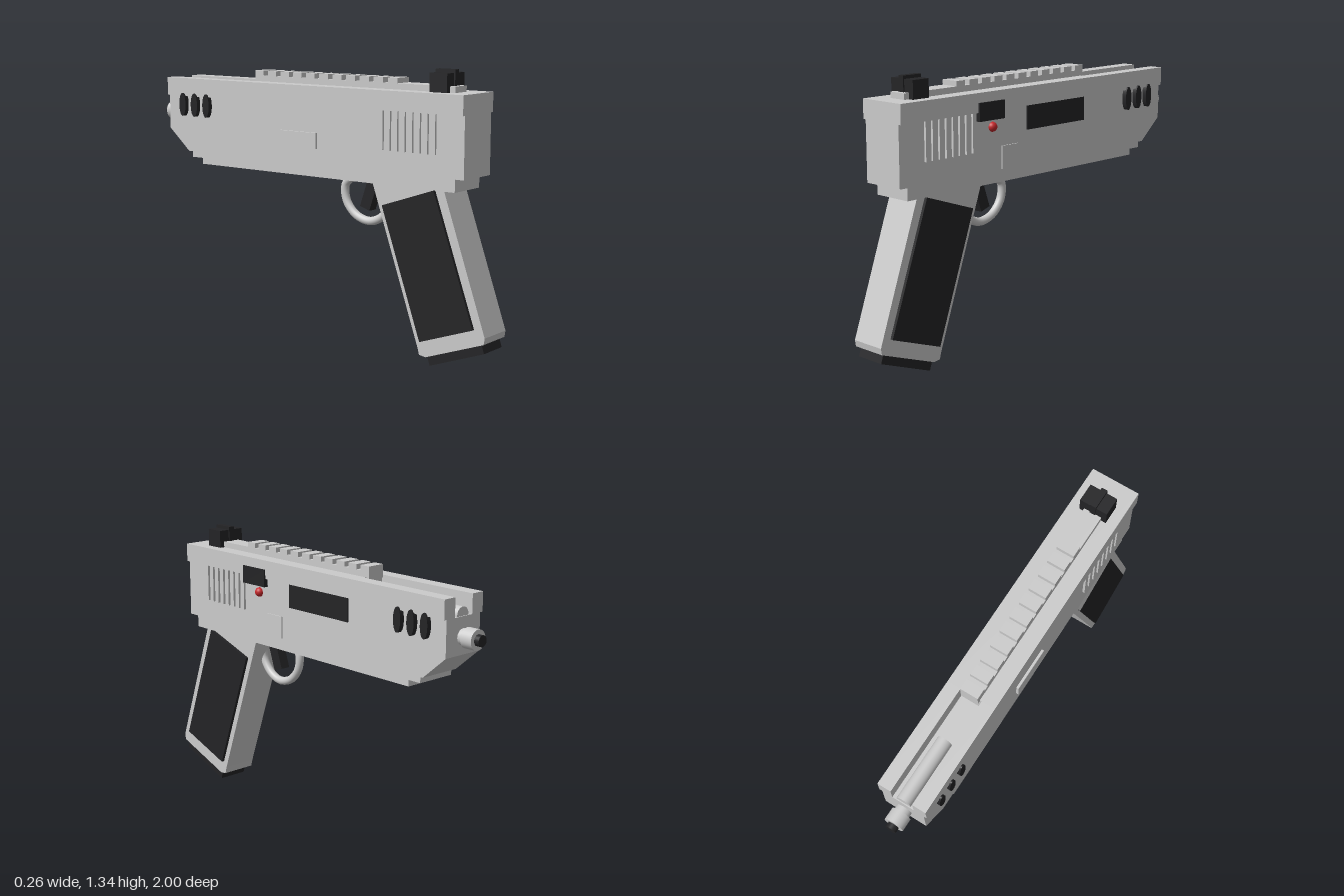
import * as THREE from 'three';

const paint = (color) => new THREE.MeshStandardMaterial({ color });

export function createModel() {
  const model = new THREE.Group();
  const grey = paint(0xcccccc), black = paint(0x242426), red = paint(0xc8282c);

  const add = (name, geometry, material = grey, parent = model) => {
    const mesh = new THREE.Mesh(geometry, material);
    mesh.name = name;
    parent.add(mesh);
    return mesh;
  };
  const group = (name) => {
    const g = new THREE.Group();
    g.name = name;
    model.add(g);
    return g;
  };
  // Box given by its limits on each axis
  const box = (name, [x0, x1], [y0, y1], [z0, z1], material, parent) => {
    const mesh = add(name, new THREE.BoxGeometry(x1 - x0, y1 - y0, z1 - z0), material, parent);
    mesh.position.set((x0 + x1) / 2, (y0 + y1) / 2, (z0 + z1) / 2);
    return mesh;
  };
  // Side outline of [z, y] points, extruded across x to a given half width
  const profile = (name, points, half, material, parent) => {
    const shape = new THREE.Shape(points.map(([z, y]) => new THREE.Vector2(-z, y)));
    const g = new THREE.ExtrudeGeometry(shape, { depth: half * 2, bevelEnabled: false });
    g.translate(0, 0, -half).rotateY(Math.PI / 2);
    return add(name, g, material, parent);
  };

  // Slide: chamfered body, wider top with an open channel towards the muzzle
  profile('slideBody', [[0.89, 0.87], [-0.76, 0.87], [-0.89, 0.98], [-0.89, 1.15], [0.89, 1.15]], 0.107);
  const top = group('slideTop');
  box('rearTop', [-0.122, 0.122], [1.15, 1.24], [-0.345, 0.89], grey, top);
  for (const s of [-1, 1]) {
    const xs = s > 0 ? [0.055, 0.122] : [-0.122, -0.055];
    box('channelWall', xs, [1.15, 1.24], [-0.89, -0.345], grey, top);
  }

  // Frame under the slide
  profile('frame', [[0.84, 0.81], [-0.67, 0.81], [-0.67, 0.84], [-0.74, 0.84], [-0.74, 0.87], [0.84, 0.87]], 0.1);

  // Barrel lying in the channel, and the muzzle in front
  const tube = (name, r, z0, z1, y, material) => {
    const g = new THREE.CylinderGeometry(r, r, z1 - z0, 32).rotateX(Math.PI / 2);
    add(name, g, material).position.set(0, y, (z0 + z1) / 2);
  };
  tube('barrel', 0.036, -0.885, -0.56, 1.155);
  tube('muzzleNeck', 0.037, -0.93, -0.88, 1.06);
  tube('muzzleCollar', 0.047, -0.975, -0.915, 1.06);
  tube('muzzleTip', 0.026, -1, -0.96, 1.06, black);

  // Toothed rail on top
  const rail = group('topRail');
  box('railBase', [-0.045, 0.045], [1.23, 1.268], [-0.36, 0.8], grey, rail);
  for (let i = 0; i < 11; i++) {
    const z = 0.49 - i * 0.0797;
    box('railTooth', [-0.045, 0.045], [1.265, 1.292], [z - 0.053, z], grey, rail);
  }

  // Rear sight with a centre ridge
  const sight = group('rearSight');
  box('sightBlock', [-0.07, 0.07], [1.24, 1.325], [0.68, 0.772], black, sight);
  box('sightPost', [-0.015, 0.015], [1.25, 1.34], [0.675, 0.778], black, sight);

  // Grip serrations and oval ports on both sides
  const serrations = group('slideSerrations');
  const ports = group('sidePorts');
  for (const s of [-1, 1]) {
    for (let i = 0; i < 8; i++) {
      const z = 0.745 - i * 0.0405;
      const xs = s > 0 ? [0.1, 0.118] : [-0.118, -0.1];
      box('serration', xs, [0.97, 1.152], [z - 0.022, z], grey, serrations);
    }
    for (const z of [-0.62, -0.7, -0.78]) {
      const g = new THREE.CylinderGeometry(1, 1, 0.03, 32).rotateZ(Math.PI / 2).scale(1, 0.058, 0.022);
      add('port', g, black, ports).position.set(s * 0.115, 1.107, z);
    }
  }

  // Left-side controls and panels (+x), and the plate on the other side
  box('ejectionPanel', [0.1, 0.115], [1.035, 1.15], [-0.295, 0.105], black);
  box('safetyPlate', [0.1, 0.13], [1.11, 1.195], [0.27, 0.43], black);
  add('safetyButton', new THREE.SphereGeometry(0.023, 24, 16), red).position.set(0.108, 1.075, 0.33);
  box('takedownPlate', [0.1, 0.113], [0.872, 0.98], [0.165, 0.27]);
  box('sidePlate', [-0.119, -0.1], [0.945, 1.02], [-0.145, 0.075]);

  // Raked grip, side panels and magazine base
  profile('grip', [[0.775, 0.815], [1, 0.18], [0.995, 0.15], [0.69, 0.04], [0.655, 0.045], [0.645, 0.08], [0.385, 0.815]], 0.088);
  profile('gripPanels', [[0.73, 0.81], [0.945, 0.21], [0.665, 0.11], [0.45, 0.715]], 0.103, black);
  profile('magazineBase', [[0.975, 0.15], [0.99, 0.105], [0.705, 0], [0.69, 0.045]], 0.075, black);

  // Trigger and its looped guard
  const guard = new THREE.CatmullRomCurve3(
    [[0.43, 0.72], [0.385, 0.645], [0.31, 0.612], [0.225, 0.635], [0.17, 0.7], [0.165, 0.775], [0.21, 0.81], [0.3, 0.815], [0.4, 0.805]]
      .map(([z, y]) => new THREE.Vector3(0, y, z)), true);
  add('triggerGuard', new THREE.TubeGeometry(guard, 64, 0.02, 16, true));
  profile('trigger', [[0.375, 0.82], [0.322, 0.665], [0.268, 0.683], [0.315, 0.82]], 0.025, black);

  return model;
}
